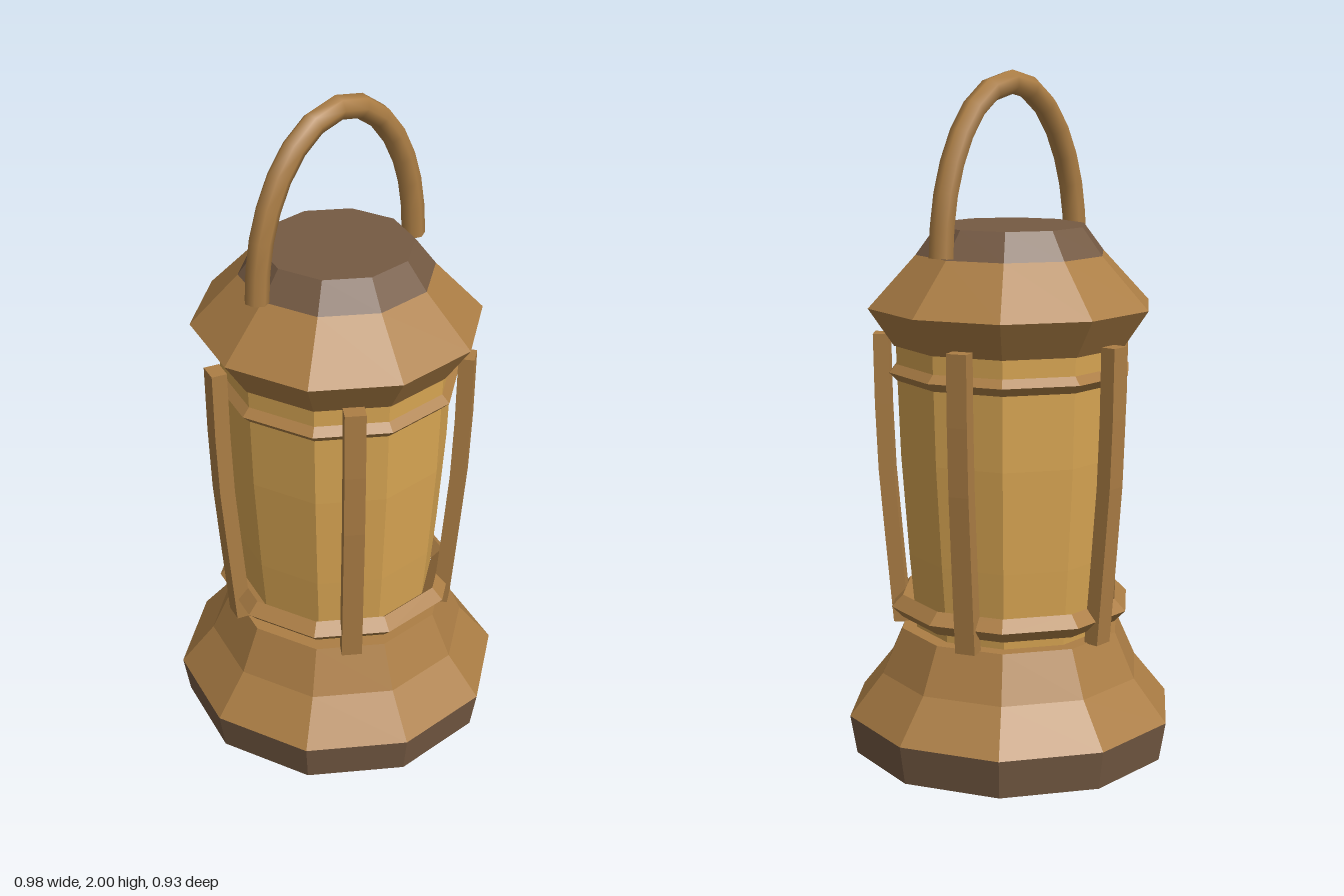
import * as THREE from 'three';

const SIDES = 10;
const material = (name, color) => {
  const m = new THREE.MeshStandardMaterial({ color });
  m.name = name;
  return m;
};

// Faceted normals for the low-poly parts
function faceted(geometry) {
  const g = geometry.index ? geometry.toNonIndexed() : geometry;
  g.computeVertexNormals();
  return g;
}

// Ten-sided turned part from [radius, height] points, corners on the x axis
function turned(points) {
  const profile = points.map(([r, y]) => new THREE.Vector2(r, y));
  return faceted(new THREE.LatheGeometry(profile, SIDES, Math.PI / 2));
}

export function createModel() {
  const group = new THREE.Group();
  group.name = 'lantern';
  const wood = material('warm brown', 0xac7e45);
  const dark = material('dark brown', 0x755a43);
  const amber = material('amber glass', 0xd9a653);

  const add = (name, geometry, mat, parent = group) => {
    const mesh = new THREE.Mesh(geometry, mat);
    mesh.name = name;
    parent.add(mesh);
    return mesh;
  };

  // Base, glass and roof
  add('baseRim', turned([[0, 0], [0.47, 0], [0.49, 0.115]]), dark);
  add('baseSkirt', turned([[0.49, 0.115], [0.39, 0.24], [0.33, 0.375], [0, 0.375]]), wood);
  add('glass', turned([[0.285, 0.37], [0.306, 0.6], [0.328, 0.9], [0.34, 1.23]]), amber);
  add('roof', turned([[0, 1.22], [0.345, 1.22], [0.42, 1.33], [0.28, 1.48]]), wood);
  add('roofCap', turned([[0.28, 1.48], [0.22, 1.56], [0, 1.56]]), dark);

  // Two diamond-section rings round the glass
  for (const [name, y] of [['lowerRing', 0.443], ['upperRing', 1.143]]) {
    const ring = faceted(new THREE.TorusGeometry(0.327, 0.034, 4, SIDES).rotateX(Math.PI / 2));
    add(name, ring, wood).position.y = y;
  }

  // Five bowed posts, one straight at the back
  const bow = new THREE.CatmullRomCurve3([
    [0.325, 0.372], [0.345, 0.6], [0.369, 0.9], [0.377, 1.242],
  ].map(([r, y]) => new THREE.Vector3(0, y, r)));
  const postGeometry = new THREE.BoxGeometry(0.06, 1, 0.046, 1, 5, 1);
  const pos = postGeometry.attributes.position;
  for (let i = 0; i < pos.count; i++) {
    const p = bow.getPoint(pos.getY(i) + 0.5);
    pos.setY(i, p.y);
    pos.setZ(i, pos.getZ(i) + p.z);
  }
  const post = faceted(postGeometry);
  for (let i = 0; i < 5; i++) {
    add('post' + (i + 1), post, wood).rotation.y = Math.PI + (i * Math.PI * 2) / 5;
  }

  // Arched carrying handle with closed ends
  const handle = new THREE.Group();
  handle.name = 'handle';
  group.add(handle);
  const arch = [];
  for (let i = 0; i <= 12; i++) {
    const a = (i / 12) * Math.PI;
    arch.push(new THREE.Vector3(-0.3 * Math.cos(a), 1.487 + 0.478 * Math.sin(a), 0));
  }
  const path = new THREE.CatmullRomCurve3(arch);
  add('handleArch', new THREE.TubeGeometry(path, 14, 0.035, 7), wood, handle);
  for (const x of [-0.3, 0.3]) {
    const end = new THREE.CircleGeometry(0.035, 7).rotateX(Math.PI / 2);
    add('handleEnd', end, wood, handle).position.set(x, 1.487, 0);
  }

  return group;
}
